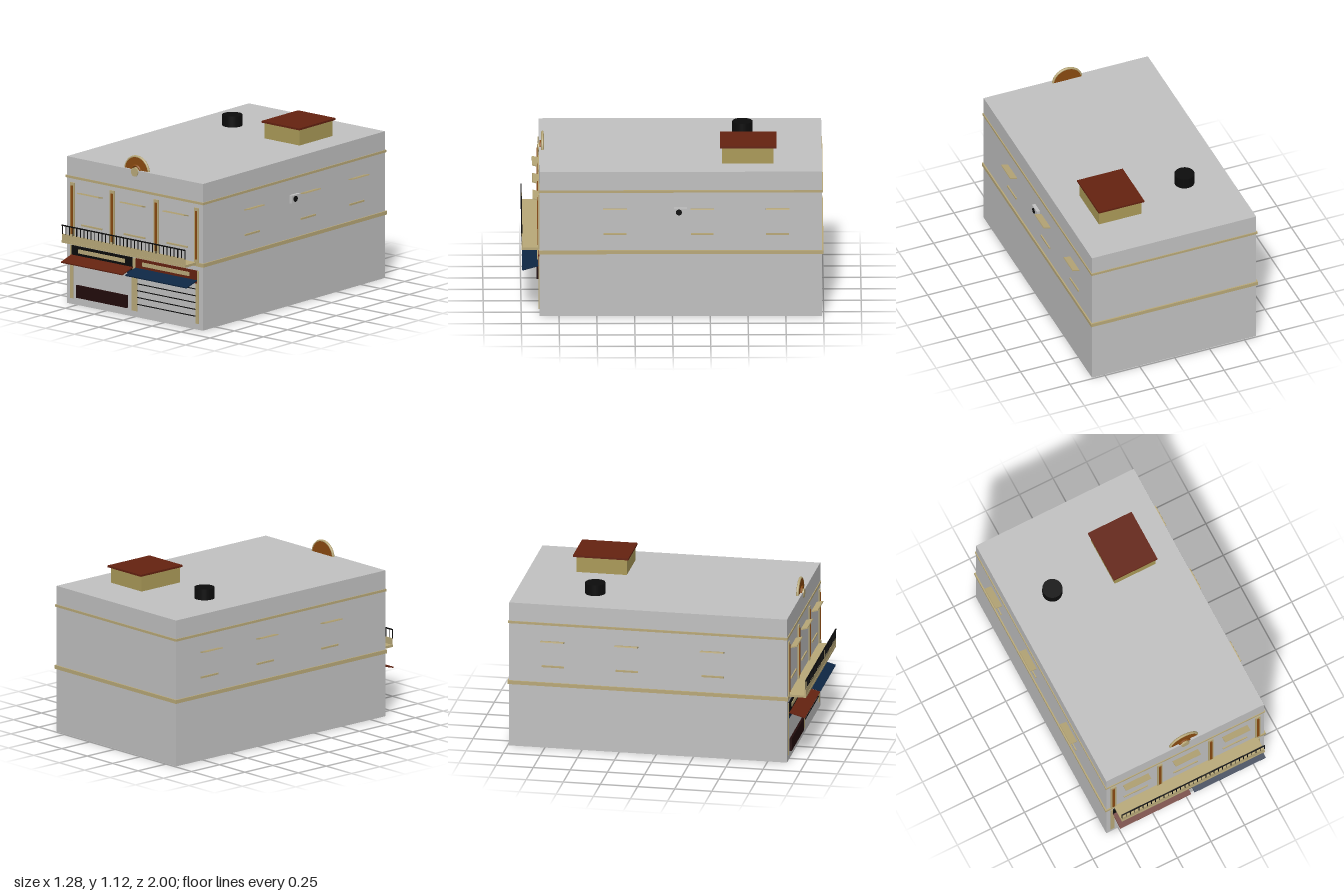
import * as THREE from 'three';

const mat = (name, color) => {
  const m = new THREE.MeshStandardMaterial({ color });
  m.name = name;
  return m;
};

export function createModel() {
  const root = new THREE.Group();
  root.name = 'building';
  const wall = mat('wall grey', 0xc0c0c0);
  const trim = mat('sand trim', 0xb8a878);
  const sand = mat('roof house sand', 0xaa9a58);
  const red = mat('brick red', 0x642210);
  const navy = mat('navy', 0x0e2744);
  const black = mat('black', 0x0c0c0c);
  const orange = mat('burnt orange', 0x8a4a10);
  const maroon = mat('dark maroon', 0x220c0c);

  const add = (name, geo, m, x, y, z, parent = root) => {
    const mesh = new THREE.Mesh(geo, m);
    mesh.name = name;
    mesh.position.set(x, y, z);
    parent.add(mesh);
    return mesh;
  };
  // Box given by its lower and upper limits on each axis
  const box = (name, m, x0, x1, y0, y1, z0, z1, parent = root) =>
    add(name, new THREE.BoxGeometry(x1 - x0, y1 - y0, z1 - z0), m,
      (x0 + x1) / 2, (y0 + y1) / 2, (z0 + z1) / 2, parent);

  const F = 0.88; // front wall plane
  box('mainBody', wall, -0.588, 0.588, 0, 1, -0.99, F);

  // Mouldings running round the building
  box('floorBand', trim, -0.597, 0.597, 0.432, 0.457, -1, 0.887);
  box('upperBand', trim, -0.594, 0.594, 0.857, 0.873, -0.996, 0.885);

  // Upper pilasters with inlaid strips
  for (const x of [-0.537, -0.192, 0.188, 0.537]) {
    box('pilaster', trim, x - 0.019, x + 0.019, 0.45, 0.83, F, 0.888);
    box('pilasterInlay', orange, x - 0.008, x + 0.008, 0.48, 0.81, F, 0.893);
  }

  // Ground floor piers
  for (const [a, b] of [[-0.556, -0.53], [-0.025, 0.022], [0.528, 0.555]])
    box('pier', trim, a, b, 0.04, 0.4, F, 0.884);

  // Front window hoods and sills
  for (const x of [-0.37, 0, 0.368]) {
    const hood = box('frontHood', trim, x - 0.094, x + 0.094, 0.765, 0.773, F - 0.005, 0.925);
    hood.rotation.x = -0.25;
    box('frontSill', trim, x - 0.09, x + 0.09, 0.545, 0.556, F, 0.888);
  }

  // Side window hoods and sills, mirrored
  for (const s of [-1, 1]) {
    for (const z of [0.38, -0.197, -0.695]) {
      const hood = add('sideHood', new THREE.BoxGeometry(0.055, 0.008, 0.156), trim, s * 0.61, 0.748, z);
      hood.rotation.z = s * 0.25;
      add('sideSill', new THREE.BoxGeometry(0.014, 0.012, 0.15), trim, s * 0.589, 0.57, z);
    }
  }

  // Balcony with fascia and railing
  const balcony = new THREE.Group();
  balcony.name = 'balcony';
  root.add(balcony);
  box('balconyFloor', trim, -0.533, 0.533, 0.442, 0.458, F, 0.998, balcony);
  box('balconyFascia', trim, -0.53, 0.53, 0.458, 0.502, 0.988, 0.996, balcony);
  box('handrail', black, -0.533, 0.533, 0.557, 0.564, 0.992, 1, balcony);
  const bars = 34;
  for (let i = 0; i <= bars; i++) {
    const x = -0.53 + (1.06 * i) / bars;
    const w = i % 2 ? 0.0015 : 0.0025;
    box('baluster', black, x - w, x + w, 0.5, 0.56, 0.993, 0.998, balcony);
  }

  // Shop signs and sloping awnings
  const shops = [[-0.541, -0.015, black, red], [0.013, 0.54, red, navy]];
  for (const [a, b, signColor, awningColor] of shops) {
    const c = (a + b) / 2;
    box('shopSign', signColor, a, b, 0.315, 0.402, F, 0.889);
    box('signPlate', trim, c - 0.202, c + 0.202, 0.357, 0.384, F, 0.894);
    const awning = add('awning', new THREE.BoxGeometry(b - a + 0.003, 0.008, 0.116),
      awningColor, c, 0.321, 0.937);
    awning.rotation.x = 0.28;
  }
  box('shopFrontStrip', navy, -0.533, -0.02, 0.291, 0.315, F, 0.886);

  // Shopfront base panel and shutter slats
  box('shopBasePanel', maroon, -0.496, -0.06, 0.052, 0.137, F, 0.895);
  for (let i = 0; i < 5; i++) {
    const y = 0.089 + i * 0.0465;
    box('shutterSlat', black, 0.022, 0.528, y - 0.003, y + 0.003, F, 0.884);
  }

  // Half-round crest on the parapet
  const crest = new THREE.Group();
  crest.name = 'crest';
  crest.position.set(0, 0.987, 0.857);
  root.add(crest);
  const disc = (name, r, depth, m, z) => {
    const d = add(name, new THREE.CylinderGeometry(r, r, depth, 40), m, 0, 0, z, crest);
    d.rotation.x = Math.PI / 2;
  };
  disc('crestPanel', 0.1, 0.016, orange, 0);
  add('crestRim', new THREE.TorusGeometry(0.1, 0.009, 8, 40, Math.PI), trim, 0, 0, 0, crest);
  add('crestRing', new THREE.TorusGeometry(0.037, 0.008, 8, 32), orange, 0, 0.004, 0.012, crest);
  disc('crestBoss', 0.03, 0.026, trim, 0.016);

  // Roof house and water tank
  box('roofHouse', sand, 0.102, 0.405, 1, 1.108, -0.67, -0.33);
  box('roofHouseLid', red, 0.089, 0.415, 1.107, 1.12, -0.69, -0.317);
  add('waterTank', new THREE.CylinderGeometry(0.067, 0.067, 0.074, 28), black, -0.291, 1.037, -0.467);

  // Air conditioner on the left side wall
  box('airConditioner', wall, 0.585, 0.611, 0.698, 0.753, -0.095, -0.01);
  const fan = add('airConditionerFan', new THREE.CylinderGeometry(0.02, 0.02, 0.006, 24),
    black, 0.612, 0.726, -0.043);
  fan.rotation.z = Math.PI / 2;

  return root;
}
